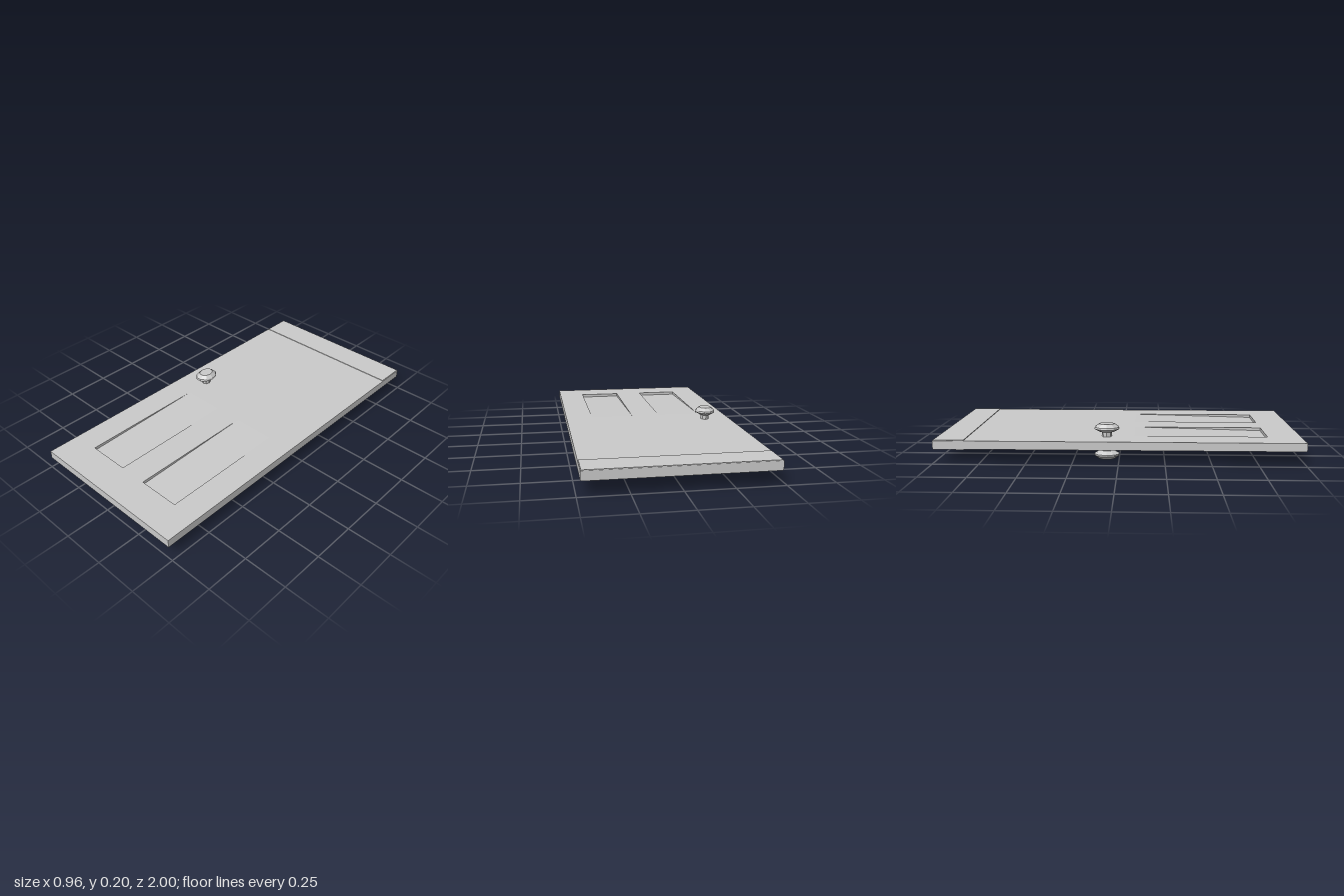
import * as THREE from 'three';

const BOTTOM = 0.079, TOP = 0.125;           // faces of the door slab
const MID_Y = 0.0985;                        // mirror plane of the two knobs
const PANEL = { x0: 0.082, x1: 0.325, z0: 0.085, z1: 0.815, depth: 0.017 };

const grey = new THREE.MeshStandardMaterial({ color: 0xcccccc, flatShading: true });

function add(group, name, geometry) {
  const mesh = new THREE.Mesh(geometry, grey);
  mesh.name = name;
  group.add(mesh);
  return mesh;
}

function polygon(points, Type = THREE.Shape) {
  return new Type(points.map(([x, y]) => new THREE.Vector2(x, y)));
}

function rectangle(x0, y0, x1, y1, Type) {
  return polygon([[x0, y0], [x1, y0], [x1, y1], [x0, y1]], Type);
}

export function createModel() {
  const door = new THREE.Group();
  door.name = 'door';
  const { x0, x1, z0, z1, depth } = PANEL;

  // Slab with two panel openings, drawn in x/z and extruded downwards
  const outline = rectangle(-0.48, -1, 0.48, 1);
  outline.holes.push(rectangle(x0, z0, x1, z1, THREE.Path), rectangle(-x1, z0, -x0, z1, THREE.Path));
  const slab = new THREE.ExtrudeGeometry(outline, { depth: TOP - BOTTOM, bevelEnabled: false });
  slab.rotateX(Math.PI / 2).translate(0, TOP, 0);
  add(door, 'slab', slab);

  // Panels: flush at one end, sinking in on both faces towards the other
  const wedge = polygon([[z0, BOTTOM], [z1, BOTTOM + depth], [z1, TOP - depth], [z0, TOP]]);
  for (const [name, edge] of [['leftPanel', x1], ['rightPanel', -x0]]) {
    const panel = new THREE.ExtrudeGeometry(wedge, { depth: x1 - x0, bevelEnabled: false });
    panel.rotateY(-Math.PI / 2).translate(edge, 0, 0);
    add(door, name, panel);
  }

  // Slightly thicker plate across the end of the slab
  add(door, 'endPlate', new THREE.BoxGeometry(0.953, 0.053, 0.165)).position.set(0, 0.102, -0.9145);

  // Knob set: one stem through the slab with an oval faceted knob on each side
  const knobs = new THREE.Group();
  knobs.name = 'knobSet';
  knobs.position.set(-0.335, MID_Y, -0.068);
  add(knobs, 'stem', new THREE.CylinderGeometry(0.024, 0.024, 0.12, 8)).scale.z = 1.15;

  const profile = [[0, 0.053], [0.03, 0.053], [0.055, 0.07], [0.053, 0.08], [0.034, 0.098], [0, 0.098]]
    .map(([r, y]) => new THREE.Vector2(r, y));
  for (const [name, turn] of [['upperKnob', 0], ['lowerKnob', Math.PI]]) {
    const knob = new THREE.LatheGeometry(profile, 10, Math.PI / 10);
    knob.scale(1.03, 1, 1.3).rotateX(turn);
    add(knobs, name, knob);
  }
  door.add(knobs);
  return door;
}
